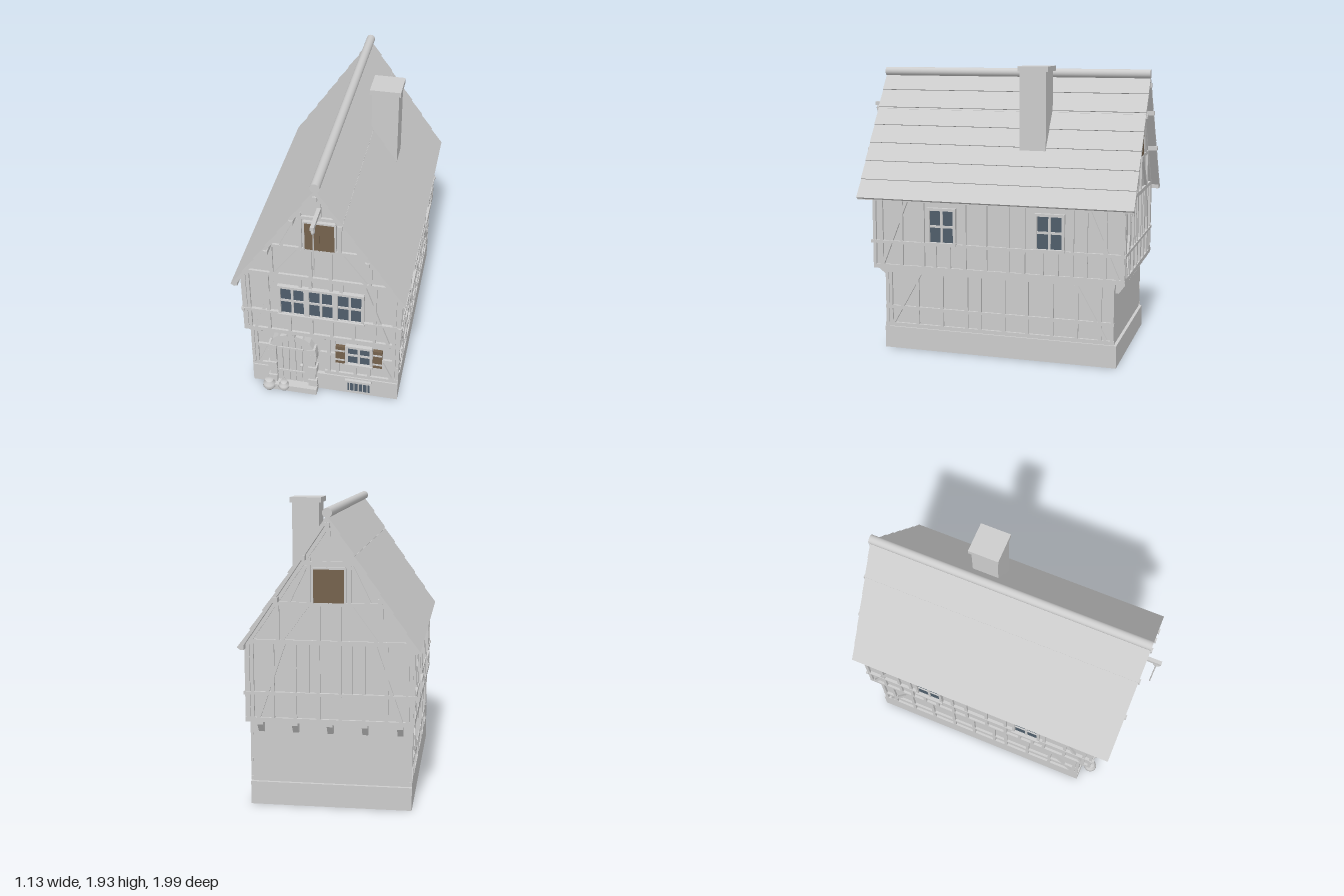
import * as THREE from 'three';

export function createModel() {
  const house = new THREE.Group();
  house.name = 'halfTimberedHouse';
  const mat = (name, color) => {
    const m = new THREE.MeshStandardMaterial({ color });
    m.name = name;
    return m;
  };
  const stone = mat('pale grey', 0xcccccc);
  const wood = mat('shutter brown', 0x75624d);
  const glass = mat('window blue', 0x4f5e6b);

  const add = (parent, name, geo, m, x = 0, y = 0, z = 0) => {
    const mesh = new THREE.Mesh(geo, m);
    mesh.name = name;
    mesh.position.set(x, y, z);
    parent.add(mesh);
    return mesh;
  };
  // Box given by its limits on each axis
  const block = (parent, name, m, x0, x1, y0, y1, z0, z1) =>
    add(parent, name, new THREE.BoxGeometry(x1 - x0, y1 - y0, z1 - z0), m,
      (x0 + x1) / 2, (y0 + y1) / 2, (z0 + z1) / 2);
  // Outline in x and y, extruded from z0 to z1
  const prism = (parent, name, m, pts, z0, z1) =>
    add(parent, name, new THREE.ExtrudeGeometry(
      new THREE.Shape(pts.map(p => new THREE.Vector2(p[0], p[1]))),
      { depth: z1 - z0, bevelEnabled: false }), m, 0, 0, z0);
  // Wall face with local x across, y up and z outwards
  const face = (name, x, z, turn) => {
    const g = new THREE.Group();
    g.name = name;
    g.position.set(x, 0, z);
    g.rotation.y = turn;
    house.add(g);
    return g;
  };
  // Timber between two points of a face
  const beam = (g, x0, y0, x1, y1, w = 0.022, d = 0.016) => {
    const b = add(g, 'timber', new THREE.BoxGeometry(Math.hypot(x1 - x0, y1 - y0), w, d), stone,
      (x0 + x1) / 2, (y0 + y1) / 2, d / 2);
    b.rotation.z = Math.atan2(y1 - y0, x1 - x0);
  };
  const posts = (g, xs, y0, y1) => xs.forEach(x => beam(g, x, y0, x, y1));
  // Glazed window with frame, sill and crossed bars
  const windowAt = (g, x, y, w, h) => {
    const a = w / 2, b = h / 2, f = 0.018;
    block(g, 'pane', glass, x - a, x + a, y - b, y + b, 0.001, 0.009);
    block(g, 'windowBar', stone, x - 0.008, x + 0.008, y - b, y + b, 0.005, 0.016);
    block(g, 'windowBar', stone, x - a, x + a, y - 0.008, y + 0.008, 0.005, 0.016);
    for (const s of [-1, 1])
      block(g, 'windowFrame', stone, x + s * (a + f / 2) - f / 2, x + s * (a + f / 2) + f / 2, y - b, y + b, 0, 0.024);
    block(g, 'windowHead', stone, x - a - f, x + a + f, y + b, y + b + f, 0, 0.028);
    block(g, 'windowSill', stone, x - a - f - 0.004, x + a + f + 0.004, y - b - f, y - b, 0, 0.034);
  };

  // Walls
  block(house, 'plinth', stone, -0.515, 0.515, 0, 0.15, -0.88, 0.73);
  block(house, 'groundFloor', stone, -0.5, 0.5, 0.15, 0.56, -0.86, 0.705);
  prism(house, 'upperFloorAndGables', stone,
    [[-0.515, 0.56], [0.515, 0.56], [0.515, 1.06], [0, 1.81], [-0.515, 1.06]], -0.915, 0.785);

  // Roof with overlapping courses
  const top = [0, 1.865], eave = [0.562, 1.045], rows = 7;
  const len = Math.hypot(eave[0], top[1] - eave[1]);
  const nx = (top[1] - eave[1]) / len, ny = eave[0] / len;
  for (const s of [-1, 1]) {
    const at = (t, off) => [s * (eave[0] * t + nx * off), top[1] + (eave[1] - top[1]) * t + ny * off];
    const pts = [[0, top[1] - 0.045], [0, top[1]]];
    for (let i = 0; i < rows; i++) pts.push(at(i / rows, -0.006), at((i + 1) / rows, 0.002));
    pts.push(at(1, -0.026));
    prism(house, 'roofSlope', stone, pts, -0.985, 0.905);
  }
  const ridge = add(house, 'ridgeTile', new THREE.CylinderGeometry(0.03, 0.03, 1.89, 20), stone, 0, 1.873, -0.04);
  ridge.rotation.x = Math.PI / 2;
  // Purlins showing at both gables
  for (const [x, y] of [[0, 1.8], [0.15, 1.603], [-0.15, 1.603], [0.32, 1.345], [-0.32, 1.345], [0.535, 1.045], [-0.535, 1.045]]) {
    const out = Math.abs(x) > 0.5 ? -0.005 : 0.01;
    block(house, 'purlin', stone, x - 0.014, x + 0.014, y - 0.015, y + 0.015, -0.985 - out, 0.905 + out);
  }

  // Chimney
  block(house, 'chimney', stone, 0.15, 0.33, 1.3, 1.9, -0.355, -0.175);
  block(house, 'chimneyCap', stone, 0.135, 0.343, 1.893, 1.927, -0.37, -0.165);

  // Upper floor and gable framing, front and back
  for (const front of [true, false]) {
    const g = front ? face('frontGable', 0, 0.785, 0) : face('backGable', 0, -0.915, Math.PI);
    beam(g, -0.53, 0.575, 0.53, 0.575, 0.03);
    beam(g, -0.53, 1.075, 0.53, 1.075, 0.028);
    beam(g, -0.33, 1.315, 0.33, 1.315);
    beam(g, -0.18, 1.565, 0.18, 1.565);
    beam(g, -0.54, 0.747, 0.54, 0.747, 0.02, 0.02);
    beam(g, 0, 1.565, 0, 1.8);
    for (const s of [-1, 1]) {
      posts(g, [s * 0.51, s * 0.485], 0.56, 1.075);
      posts(g, [s * 0.355], 0.575, 1.075);
      posts(g, [s * 0.32], 1.075, 1.34);
      posts(g, [s * 0.065], 1.075, 1.315);
      posts(g, [s * 0.125], 1.315, 1.6);
      beam(g, s * 0.45, 0.58, s * 0.28, 1.07);
      beam(g, s * 0.13, 1.31, s * 0.295, 1.085);
      beam(g, s * 0.14, 1.55, s * 0.25, 1.325);
      beam(g, s * 0.515, 1.055, 0, 1.805, 0.03);
      posts(g, [s * 0.215, s * 0.068], 0.575, 0.745);
      posts(g, [s * 0.135, s * 0.068], front ? 0.99 : 0.745, 1.075);
      if (!front) posts(g, [s * 0.215], 0.745, 1.075);
    }
    if (front) for (const x of [-0.19, 0, 0.19]) windowAt(g, x, 0.865, 0.155, 0.22);
    // Loft hatch
    block(g, 'hatch', wood, -0.095, 0.095, 1.325, 1.53, 0, 0.02);
    block(g, 'hatchSeam', wood, -0.003, 0.003, 1.325, 1.53, 0.02, 0.024);
    for (const s of [-1, 1]) beam(g, s * 0.1, 1.32, s * 0.1, 1.535, 0.012, 0.022);
    beam(g, -0.1, 1.535, 0.1, 1.535, 0.012, 0.022);
  }

  // Jetty brackets, front and back
  for (const x of [-0.44, -0.22, 0, 0.22, 0.44]) for (const [z, s] of [[0.705, 1], [-0.86, -1]]) {
    const d = s > 0 ? 0.085 : 0.06;
    const b = prism(house, 'jettyBracket', stone, [[0, 0.56], [d, 0.56], [d, 0.54], [0.02, 0.485], [0, 0.485]], 0, 0.036);
    b.position.set(x - s * 0.018, 0, z);
    b.rotation.y = -s * Math.PI / 2;
    b.position.x = x + s * 0.018;
  }

  // Long sides
  for (const s of [-1, 1]) {
    const turn = s * Math.PI / 2;
    const low = face('groundFloorSide', s * 0.5, 0, turn);
    const bar = (g, z0, y0, z1, y1, w, d) => beam(g, -s * z0, y0, -s * z1, y1, w, d);
    for (const [y, w] of [[0.167, 0.026], [0.29, 0.022], [0.545, 0.024]]) bar(low, 0.725, y, -0.865, y, w);
    for (const z of [0.71, 0.685, 0.49, 0.315, 0.14, 0.045, -0.12, -0.28, -0.45, -0.615, -0.77, -0.85])
      bar(low, z, 0.155, z, 0.55);
    bar(low, 0.67, 0.18, 0.47, 0.535);
    bar(low, -0.81, 0.18, -0.61, 0.535);
    const up = face('upperFloorSide', s * 0.515, 0, turn);
    bar(up, 0.8, 0.575, -0.93, 0.575, 0.03);
    bar(up, 0.815, 0.745, -0.93, 0.745, 0.02, 0.02);
    for (const z of [0.79, 0.74, 0.595, 0.44, 0.145, 0, -0.155, -0.26, -0.585, -0.675, -0.8, -0.915]) bar(up, z, 0.56, z, 1.06);
    bar(up, 0.735, 0.59, 0.555, 1.04);
    bar(up, -0.885, 0.59, -0.69, 1.04);
    for (const z of [0.305, -0.435]) {
      windowAt(up, -s * z, 0.87, 0.165, 0.215);
      for (const k of [-0.05, 0.05]) bar(up, z + k, 0.58, z + k, 0.745);
    }
  }

  // Ground floor front framing
  const g = face('groundFloorFront', 0, 0.705, 0);
  beam(g, 0.0, 0.163, 0.515, 0.163, 0.026);
  beam(g, -0.515, 0.163, -0.4, 0.163, 0.026);
  beam(g, -0.515, 0.545, 0.515, 0.545, 0.026);
  posts(g, [-0.505, -0.48, 0.48, 0.505, 0.03], 0.15, 0.55);
  posts(g, [0.065, 0.42], 0.44, 0.54);
  posts(g, [0.09, 0.215, 0.31], 0.165, 0.265);
  beam(g, 0.03, 0.345, 0.08, 0.345);
  beam(g, 0.4, 0.345, 0.48, 0.345);
  beam(g, -0.48, 0.345, -0.38, 0.345);
  beam(g, -0.46, 0.175, -0.37, 0.39);
  beam(g, 0.465, 0.175, 0.39, 0.34);
  beam(g, -0.03, 0.345, 0.03, 0.345);
  windowAt(g, 0.24, 0.36, 0.15, 0.15);
  for (const x of [0.112, 0.37]) {
    block(g, 'shutter', wood, x - 0.032, x + 0.032, 0.28, 0.435, 0, 0.024);
    for (const y of [0.315, 0.4]) block(g, 'shutterBand', stone, x - 0.032, x + 0.032, y - 0.006, y + 0.006, 0.024, 0.029);
  }

  // Cellar window
  block(house, 'cellarPane', glass, 0.165, 0.32, 0.03, 0.118, 0.73, 0.736);
  block(house, 'cellarLintel', stone, 0.148, 0.332, 0.118, 0.138, 0.73, 0.75);
  for (let i = 0; i < 5; i++)
    add(house, 'cellarBar', new THREE.CylinderGeometry(0.004, 0.004, 0.088, 8), stone, 0.18 + i * 0.031, 0.074, 0.738);

  // Door of planks with a rounded head
  const cx = -0.22, spring = 0.35, r = 0.115;
  for (let i = 0; i < 5; i++) {
    const x0 = -r + i * 0.046, x1 = x0 + 0.042;
    const h = x => spring + Math.sqrt(Math.max(0, r * r - x * x));
    const xm = (x0 + x1) / 2;
    prism(house, 'doorPlank', stone,
      [[cx + x0, 0.05], [cx + x1, 0.05], [cx + x1, h(x1)], [cx + xm, h(xm)], [cx + x0, h(x0)]], 0.7, 0.74);
  }
  for (const y of [0.14, 0.36]) block(house, 'doorHinge', stone, cx - 0.1, cx + 0.08, y, y + 0.014, 0.738, 0.747);
  add(house, 'doorKnob', new THREE.SphereGeometry(0.014, 16, 12), stone, -0.155, 0.23, 0.753);
  // Door surround of alternating stones
  for (const s of [-1, 1]) for (let i = 0; i < 5; i++) {
    const w = i % 2 ? 0.05 : 0.062;
    const x = cx + s * (r + w / 2 - 0.004);
    block(house, 'jambStone', stone, x - w / 2, x + w / 2, 0.05 + i * 0.062, 0.107 + i * 0.062, 0.7, i % 2 ? 0.76 : 0.768);
  }
  for (let i = 0; i < 9; i++) {
    const a = (i + 0.5) * Math.PI / 9, d = 0.05 + (i % 2 ? 0 : 0.012);
    const v = add(house, 'archStone', new THREE.BoxGeometry(d, 0.05, i % 2 ? 0.06 : 0.068), stone,
      cx + Math.cos(a) * (r + d / 2 - 0.005), spring + Math.sin(a) * (r + d / 2 - 0.005), 0.733);
    v.rotation.z = a;
  }
  block(house, 'doorStep', stone, -0.4, -0.045, 0, 0.05, 0.72, 0.8);

  // Pots beside the door
  const pot = [[0, 0], [0.028, 0], [0.046, 0.028], [0.042, 0.052], [0.022, 0.07], [0.03, 0.085], [0, 0.085]]
    .map(p => new THREE.Vector2(p[0], p[1]));
  add(house, 'largePot', new THREE.LatheGeometry(pot, 24), stone, -0.385, 0, 0.79);
  add(house, 'smallPot', new THREE.LatheGeometry(pot, 24), stone, -0.28, 0.01, 0.79).scale.setScalar(0.85);

  // Hoist over the loft hatch
  block(house, 'hoistBeam', stone, -0.012, 0.012, 1.63, 1.655, 0.78, 0.997);
  add(house, 'hoistPulley', new THREE.SphereGeometry(0.025, 20, 14), stone, 0, 1.61, 0.968).scale.x = 0.5;
  add(house, 'hoistRope', new THREE.CylinderGeometry(0.004, 0.004, 0.34, 8), stone, 0, 1.44, 0.968);
  return house;
}
